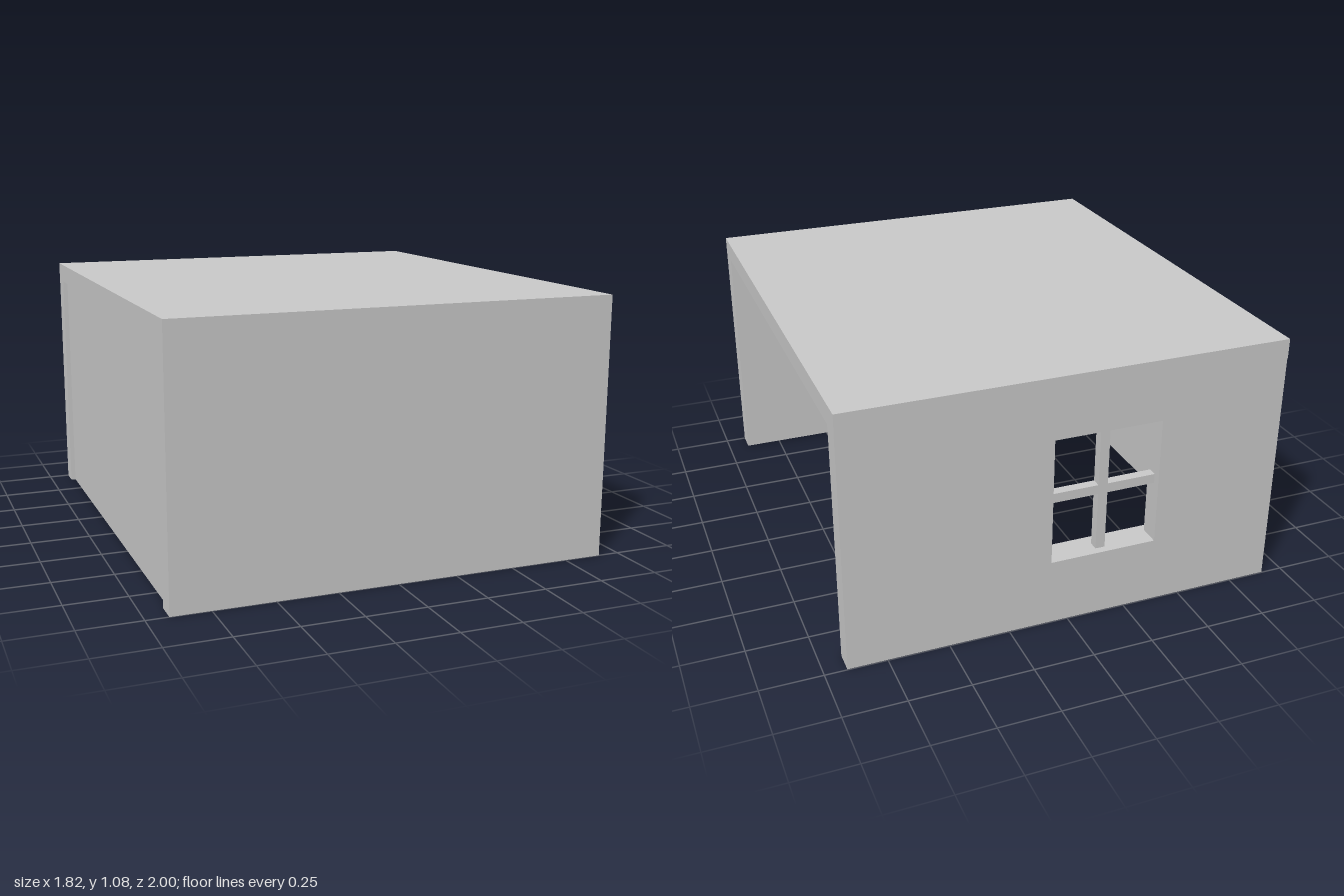
import * as THREE from 'three';

const material = new THREE.MeshStandardMaterial({ color: 0xcccccc, flatShading: true });

function box(name, [x0, x1], [y0, y1], [z0, z1]) {
  const mesh = new THREE.Mesh(new THREE.BoxGeometry(x1 - x0, y1 - y0, z1 - z0), material);
  mesh.position.set((x0 + x1) / 2, (y0 + y1) / 2, (z0 + z1) / 2);
  mesh.name = name;
  return mesh;
}

const polygon = (points) => points.map(([a, b]) => new THREE.Vector2(a, b));

// Extrudes a (z, y) outline along x from x0 to x1
function extrudeAlongX(name, outline, x0, x1) {
  const shape = new THREE.Shape(polygon(outline.map(([z, y]) => [-z, y])));
  const geometry = new THREE.ExtrudeGeometry(shape, { depth: x1 - x0, bevelEnabled: false });
  geometry.rotateY(Math.PI / 2).translate(x0, 0, 0);
  const mesh = new THREE.Mesh(geometry, material);
  mesh.name = name;
  return mesh;
}

export function createModel() {
  const room = new THREE.Group();
  room.name = 'room';

  const halfX = 0.91, inner = 0.91, ceiling = 1.0, top = 1.08, back = -0.997;
  const win = { x0: -0.375, x1: 0.075, y0: 0.28, y1: 0.82 };
  const midX = (win.x0 + win.x1) / 2, midY = (win.y0 + win.y1) / 2;

  // Roof slab and front wall in one piece
  room.add(extrudeAlongX('roofAndFrontWall', [
    [1, 0], [1, top], [-1, top], [-1, ceiling], [inner, ceiling], [inner, 0],
  ], -halfX, halfX));

  // Back wall with the window opening
  const wall = new THREE.Shape(polygon([[-halfX, 0], [halfX, 0], [halfX, ceiling], [-halfX, ceiling]]));
  wall.holes.push(new THREE.Path(polygon([
    [win.x0, win.y0], [win.x0, win.y1], [win.x1, win.y1], [win.x1, win.y0],
  ])));
  const backWall = new THREE.Mesh(
    new THREE.ExtrudeGeometry(wall, { depth: -inner - back, bevelEnabled: false }), material);
  backWall.position.z = back;
  backWall.name = 'backWall';
  room.add(backWall);

  // Side wall, set slightly in from the wall ends; the other side stays open
  room.add(box('sideWall', [-0.89, -0.82], [0, ceiling], [-inner, inner]));

  // Crossed window bars
  const bars = new THREE.Group();
  bars.name = 'windowBars';
  bars.add(box('verticalBar', [midX - 0.02, midX + 0.02], [win.y0, win.y1], [-0.965, -0.925]));
  bars.add(box('horizontalBar', [win.x0, win.x1], [midY - 0.02, midY + 0.02], [-0.965, -0.925]));
  room.add(bars);

  // Inside sill below the window and sloping pelmet above it
  room.add(box('windowSill', [midX - 0.26, midX + 0.26], [0.23, win.y0], [-inner, -0.877]));
  room.add(extrudeAlongX('pelmet', [
    [-inner, 0.78], [-0.88, 0.78], [-0.868, 0.88], [-inner, 0.88],
  ], midX - 0.26, midX + 0.26));

  return room;
}
